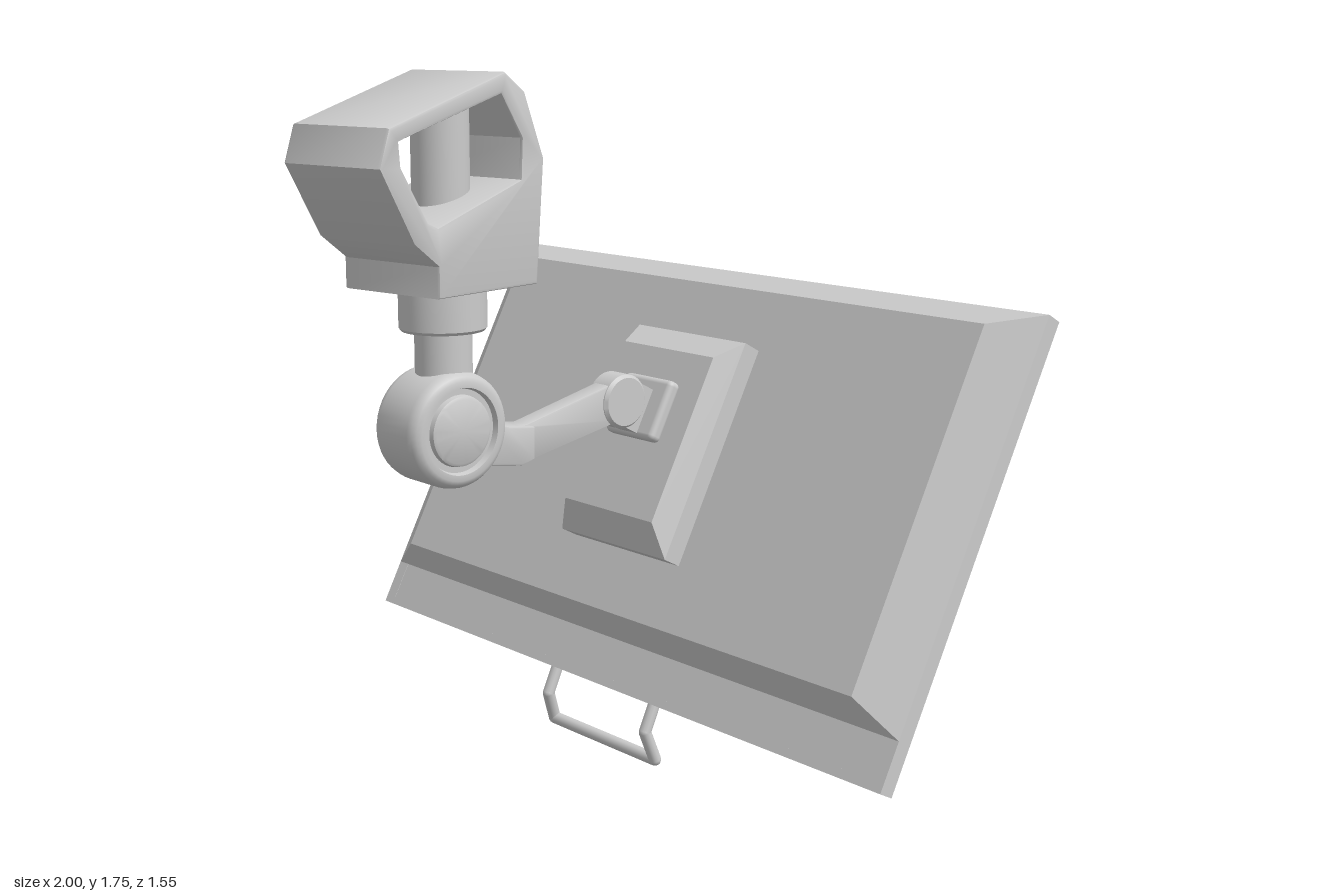
import * as THREE from 'three';
import { toCreasedNormals } from 'three/addons/utils/BufferGeometryUtils.js';
import { RoundedBoxGeometry } from 'three/addons/geometries/RoundedBoxGeometry.js';

const material = new THREE.MeshStandardMaterial({ color: 0xcccccc, side: THREE.DoubleSide });
const YAW = -0.166, TILT = -0.489;
const W = 1.927, H = 1.167, T = 0.045; // monitor width, height, rim thickness

function add(parent, name, geometry, x = 0, y = 0, z = 0) {
  const mesh = new THREE.Mesh(geometry, material);
  mesh.name = name;
  mesh.position.set(x, y, z);
  parent.add(mesh);
  return mesh;
}

// Block between two centred rectangles { w, y0, y1, z }
function taperedBlock(a, b) {
  const g = new THREE.BoxGeometry(1, 1, 1);
  const p = g.attributes.position;
  for (let i = 0; i < p.count; i++) {
    const r = p.getZ(i) < 0 ? a : b;
    p.setXYZ(i, p.getX(i) * r.w, p.getY(i) < 0 ? r.y0 : r.y1, r.z);
  }
  g.computeVertexNormals();
  return g;
}

const block = (w, y0, y1, z0, z1) => taperedBlock({ w, y0, y1, z: z0 }, { w, y0, y1, z: z1 });

const polygon = (pts, Type = THREE.Shape) => new Type(pts.map(([x, y]) => new THREE.Vector2(x, y)));
const rect = (w, y0, y1, Type) => polygon([[-w / 2, y0], [w / 2, y0], [w / 2, y1], [-w / 2, y1]], Type);

// Side profile in (z, y), extruded to the given width along x
function sideExtrude(shape, width, bevel) {
  const depth = width - 2 * bevel;
  const g = new THREE.ExtrudeGeometry(shape, {
    depth, bevelEnabled: true, bevelSize: bevel, bevelThickness: bevel, bevelOffset: -bevel, bevelSegments: 2,
  });
  g.translate(0, 0, -depth / 2).rotateY(-Math.PI / 2);
  return toCreasedNormals(g, 0.65);
}

function lathe(pts) {
  const g = new THREE.LatheGeometry(pts.map(([r, y]) => new THREE.Vector2(r, y)), 48);
  return toCreasedNormals(g, 0.6);
}

function buildMonitor() {
  const monitor = new THREE.Group();
  monitor.name = 'monitor';
  monitor.position.set(-0.045, 0.15, -0.08);
  monitor.rotation.set(TILT, YAW, 0, 'YXZ');

  // Rim with openings for the screen and the lower control strip
  const rim = rect(W, 0, H);
  rim.holes.push(rect(W - 0.075, 0.175, H - 0.035, THREE.Path), rect(W - 0.075, 0.022, 0.14, THREE.Path));
  add(monitor, 'rim', new THREE.ExtrudeGeometry(rim, { depth: T, bevelEnabled: false }));
  add(monitor, 'screenSurround', block(W - 0.06, 0.16, H - 0.02, 0.028, 0.044));
  add(monitor, 'screen', taperedBlock(
    { w: W - 0.13, y0: 0.205, y1: H - 0.065, z: 0.016 },
    { w: W - 0.11, y0: 0.195, y1: H - 0.055, z: 0.03 }));
  add(monitor, 'controlStrip', block(W - 0.06, 0.015, 0.15, 0.007, 0.044));
  // Small controls at one end of the strip
  for (let i = 0; i < 2; i++) {
    for (let j = 0; j < 3; j++) {
      const y = 0.035 + j * 0.034;
      add(monitor, 'button', block(0.05, y, y + 0.022, 0.003, 0.01), 0.87 - i * 0.075);
    }
  }

  // Bevelled back shell
  add(monitor, 'backShell', taperedBlock(
    { w: W, y0: 0.125, y1: H, z: T },
    { w: W - 0.22, y0: 0.182, y1: 1.1, z: 0.12 }));
  // Mounting block: straight base and bevelled top
  add(monitor, 'mountBase', block(0.4, 0.35, 0.94, 0.115, 0.175));
  add(monitor, 'mountTop', taperedBlock(
    { w: 0.4, y0: 0.35, y1: 0.94, z: 0.175 },
    { w: 0.335, y0: 0.425, y1: 0.873, z: 0.233 }));
  add(monitor, 'mountPlate', new RoundedBoxGeometry(0.18, 0.165, 0.04, 3, 0.015), 0, 0.705, 0.245);
  add(monitor, 'mountStub', block(0.07, 0.632, 0.752, 0.255, 0.345));
  return monitor;
}

function buildArm() {
  const arm = new THREE.Group();
  arm.name = 'arm';
  arm.position.set(-0.13, 0.93, 0.445);
  arm.rotation.y = YAW;

  // Pivot housing with rounded edges and a recessed cap on each end
  const half = [[0.14, 0.055], [0.137, 0.069], [0.129, 0.08], [0.118, 0.085], [0.104, 0.085],
    [0.1, 0.07], [0.086, 0.07], [0.083, 0.082], [0.076, 0.086], [0, 0.086]];
  const profile = [...half.map(([r, y]) => [r, -y]).reverse(), ...half];
  add(arm, 'pivotHousing', lathe(profile).rotateZ(Math.PI / 2));

  add(arm, 'elbow', sideExtrude(polygon([[-0.08, -0.1], [-0.21, -0.122], [-0.25, -0.11],
    [-0.25, -0.03], [-0.17, -0.018], [-0.09, 0.01]]), 0.09, 0.006));
  add(arm, 'armBeam', sideExtrude(polygon([[-0.18, -0.12], [-0.24, -0.118], [-0.54, -0.06],
    [-0.55, 0.048], [-0.24, -0.025], [-0.18, -0.025]]), 0.055, 0.005));
  add(arm, 'armHub', lathe([[0, -0.038], [0.062, -0.038], [0.07, -0.03], [0.07, 0.03],
    [0.062, 0.038], [0, 0.038]]).rotateZ(Math.PI / 2), 0, -0.01, -0.555);
  return arm;
}

function buildHead() {
  const head = new THREE.Group();
  head.name = 'headBracket';
  head.position.x = -0.128;
  const post = new THREE.CylinderGeometry(0.068, 0.068, 0.65, 40);
  add(head, 'post', post, 0, 1.375, 0.435);
  add(head, 'collar', lathe([[0, 1.16], [0.098, 1.16], [0.104, 1.167], [0.104, 1.28], [0, 1.28]]), 0, 0, 0.435);

  // Hollow angular bracket
  const shape = polygon([[0.27, 1.263], [0.6, 1.263], [0.6, 1.335], [0.675, 1.39], [0.775, 1.56],
    [0.745, 1.645], [0.375, 1.755], [0.31, 1.71], [0.245, 1.555]]);
  shape.holes.push(polygon([[0.715, 1.615], [0.39, 1.705], [0.32, 1.605], [0.325, 1.51],
    [0.6, 1.422], [0.63, 1.435], [0.71, 1.56]], THREE.Path));
  add(head, 'bracket', sideExtrude(shape, 0.305, 0.008));
  return head;
}

function buildHandle() {
  const handle = new THREE.Group();
  handle.name = 'handle';
  handle.position.set(-0.048, 0.16, -0.063);
  handle.rotation.y = YAW;
  const R = 0.016;
  const leg = [[0.192, 0.01, -0.005], [0.192, -0.065, 0.03], [0.2, -0.144, 0.002]];
  const path = [...leg, ...leg.map(([x, y, z]) => [-x, y, z]).reverse()].map((p) => new THREE.Vector3(...p));
  for (let i = 0; i < path.length - 1; i++) {
    const line = new THREE.LineCurve3(path[i], path[i + 1]);
    add(handle, 'handleBar', new THREE.TubeGeometry(line, 1, R, 12));
    if (i > 0) add(handle, 'handleCorner', new THREE.SphereGeometry(R, 12, 8), ...path[i].toArray());
  }
  return handle;
}

export function createModel() {
  const model = new THREE.Group();
  model.name = 'wallMountedMonitor';
  model.add(buildMonitor(), buildArm(), buildHead(), buildHandle());
  return model;
}
